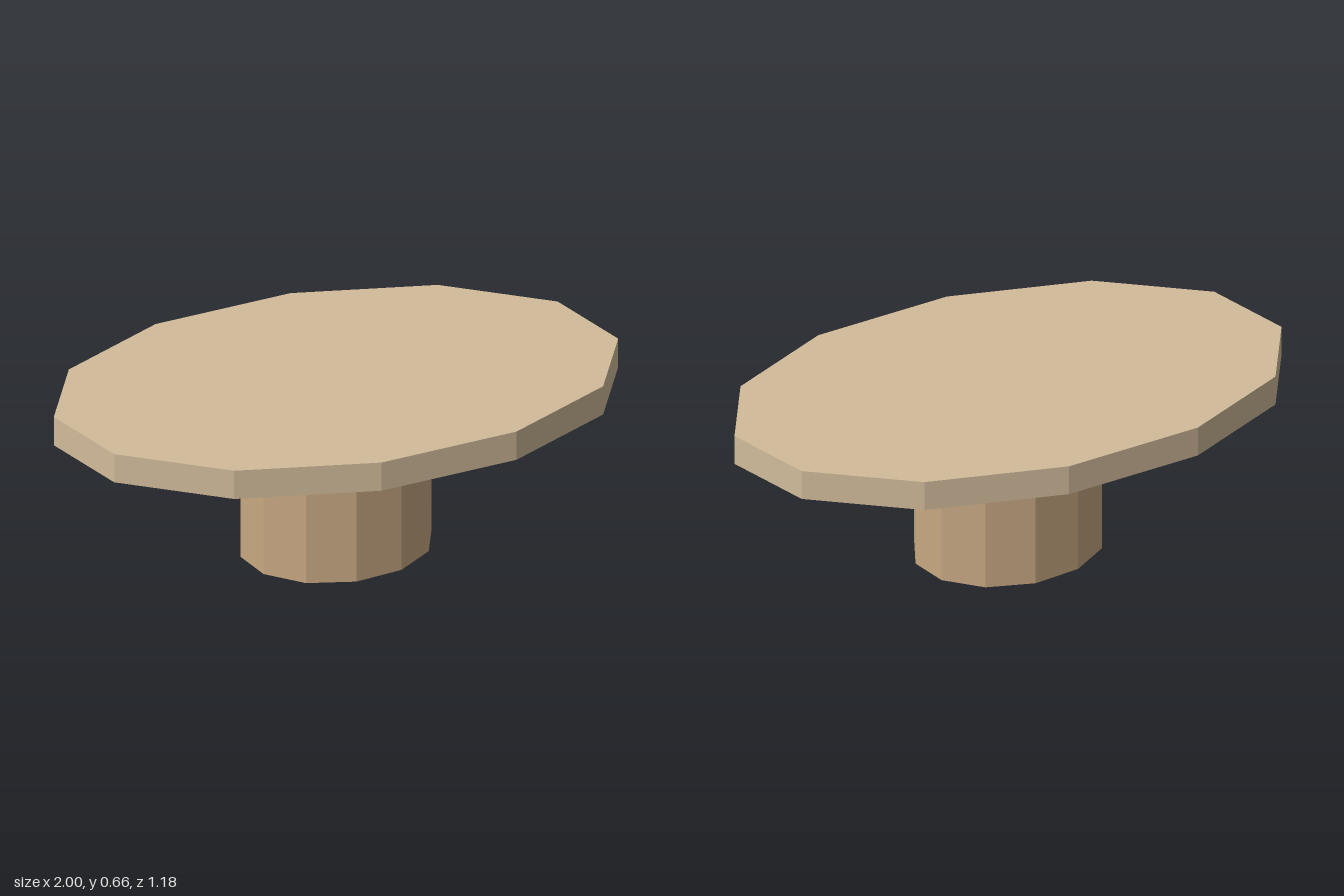
import * as THREE from 'three';

const SIDES = 12;

// Upright twelve-sided elliptical prism standing on y = bottom
function ovalPrism(name, rx, rz, bottom, top, color) {
  const height = top - bottom;
  const geometry = new THREE.CylinderGeometry(1, 1, height, SIDES);
  geometry.scale(rx, 1, rz);
  geometry.translate(0, bottom + height / 2, 0);
  const material = new THREE.MeshStandardMaterial({ color, flatShading: true });
  const mesh = new THREE.Mesh(geometry, material);
  mesh.name = name;
  return mesh;
}

export function createModel() {
  const table = new THREE.Group();
  table.name = 'ovalTable';
  // Thick pedestal under a wide oval top
  table.add(ovalPrism('pedestal', 0.338, 0.265, 0, 0.546, 0xc8a882));
  table.add(ovalPrism('tableTop', 1, 0.59, 0.546, 0.658, 0xd2bc9b));
  return table;
}
